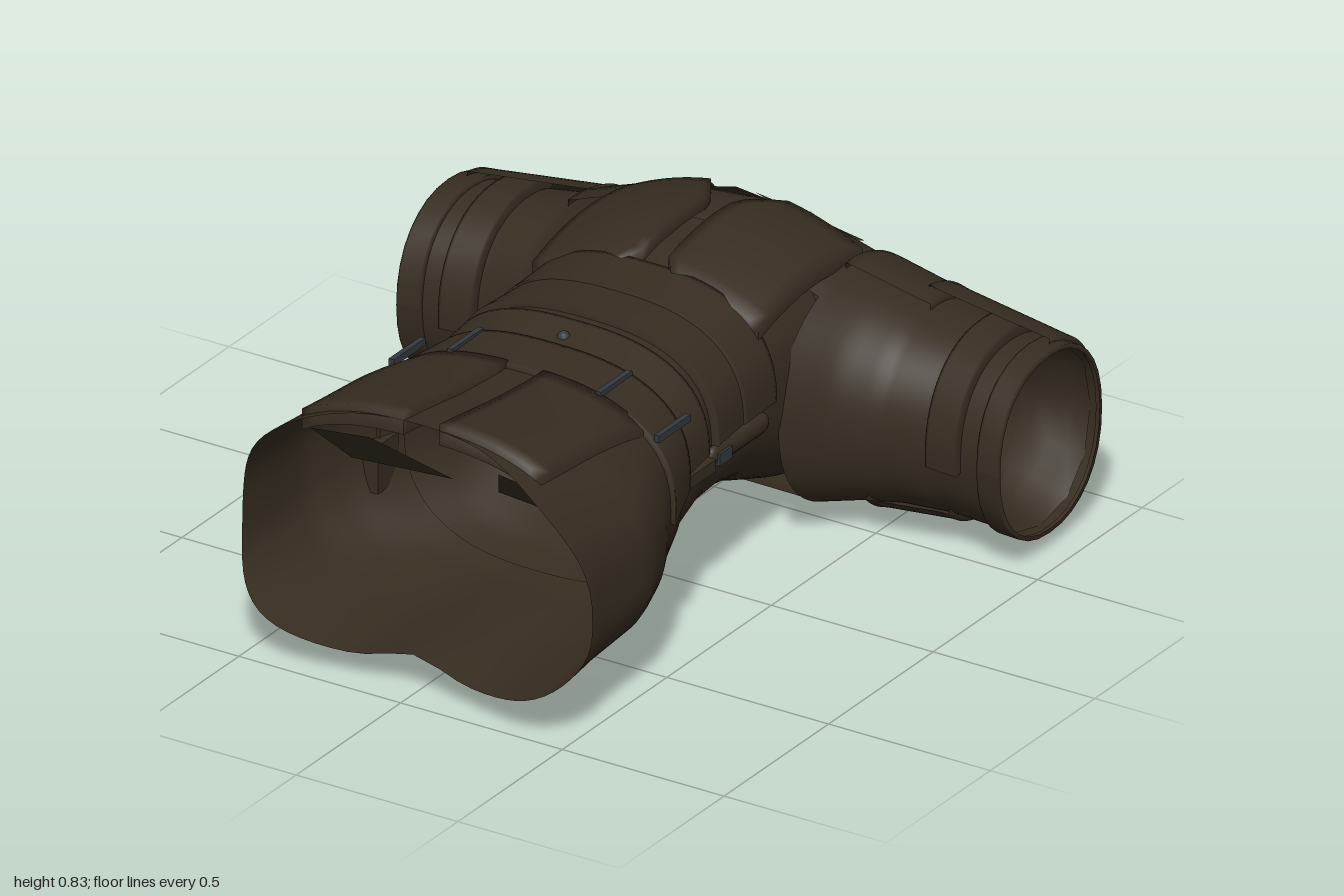
import * as THREE from 'three';

const leather = new THREE.MeshStandardMaterial({ color: 0x372d21, side: THREE.DoubleSide });
leather.name = 'dark leather';
const steel = new THREE.MeshStandardMaterial({ color: 0x343940, side: THREE.DoubleSide });
steel.name = 'dull steel';

const TAU = Math.PI * 2;
const N = 2.6;
const pow = (c, n) => Math.sign(c) * Math.pow(Math.abs(c), 2 / n);

// Row of a station table at t, blended between neighbours
function station(table, t) {
  let i = 0;
  while (i < table.length - 2 && t > table[i + 1][0]) i++;
  const a = table[i], b = table[i + 1];
  const k = THREE.MathUtils.clamp((t - a[0]) / (b[0] - a[0]), 0, 1);
  return a.map((v, j) => v + (b[j] - v) * k);
}

// Grid surface from f(u, v); faces whose centre satisfies skip are left open
function loft(f, nu, nv, closed = false, skip = null) {
  const pts = [], idx = [], cols = closed ? nv : nv + 1;
  for (let i = 0; i <= nu; i++)
    for (let j = 0; j < cols; j++) pts.push(new THREE.Vector3(...f(i / nu, j / nv)));
  for (let i = 0; i < nu; i++)
    for (let j = 0; j < nv; j++) {
      const k = (j + 1) % cols;
      const a = i * cols + j, b = i * cols + k, c = a + cols, d = b + cols;
      const mid = pts[a].clone().add(pts[d]).multiplyScalar(0.5);
      if (skip && skip(mid)) continue;
      idx.push(a, b, c, b, d, c);
    }
  const g = new THREE.BufferGeometry().setFromPoints(pts);
  g.setIndex(idx);
  g.computeVertexNormals();
  return g;
}

// Trunk stations: z, half width, back y, front y, widest y
const trunk = [
  [-0.46, 0.38, 0.07, 0.79, 0.45], [-0.3, 0.37, 0.13, 0.78, 0.46], [-0.18, 0.365, 0.18, 0.75, 0.47],
  [-0.05, 0.365, 0.205, 0.735, 0.47], [0.08, 0.365, 0.19, 0.73, 0.47], [0.25, 0.385, 0.12, 0.705, 0.45],
  [0.4, 0.44, 0.095, 0.7, 0.42], [0.5, 0.49, 0.09, 0.705, 0.4], [0.62, 0.53, 0.085, 0.715, 0.38],
  [0.8, 0.53, 0.08, 0.74, 0.35], [0.93, 0.54, 0.075, 0.755, 0.33],
];
function trunkPoint(z, a, off = 0) {
  const [, w, yb, yt, ym] = station(trunk, z);
  const s = pow(Math.sin(a), N);
  return [(w + off) * pow(Math.cos(a), N), ym + s * (s > 0 ? yt - ym + off : ym - yb + off), z];
}
function trunkTop(x, z) {
  const [, w, , yt, ym] = station(trunk, z);
  return ym + (yt - ym) * Math.pow(Math.max(0, 1 - Math.pow(Math.abs(x / w), N)), 1 / N);
}

// Yoke stations: |x|, rear z, front z, back y, front y, roundness of the upper rear
const yoke = [
  [0, -0.95, -0.25, 0.05, 0.79, 1.6], [0.2, -0.95, -0.25, 0.05, 0.77, 1.6], [0.36, -0.96, -0.25, 0.05, 0.7, 1.75],
  [0.45, -0.97, -0.35, 0.05, 0.645, 1.9], [0.55, -0.965, -0.42, 0.05, 0.595, 2.1],
  [0.7, -0.94, -0.45, 0.055, 0.57, 2.2], [0.92, -0.905, -0.43, 0.06, 0.56, 2.2],
];
function yokePoint(x, a, off = 0) {
  const [, z0, z1, yb, yt, nr] = station(yoke, Math.abs(x));
  const c = Math.cos(a), s = Math.sin(a), n = c < 0 && s > 0 ? nr : 2.2;
  return [x, (yb + yt) / 2 + ((yt - yb) / 2 + off) * pow(s, n),
    (z0 + z1) / 2 + ((z1 - z0) / 2 + off) * pow(c, n)];
}

// Raised band profile: off the surface, up, across and back down
const lip = [[0, 0], [0, 1], [0.08, 1], [0.92, 1], [1, 1], [1, 0]];
const lipAt = (u) => lip[Math.round(u * (lip.length - 1))];

// Strap wrapped around the trunk between two angles
const trunkBand = (z0, z1, a0, a1, o0, o1) => loft((u, v) => {
  const [t, h] = lipAt(u);
  return trunkPoint(z0 + (z1 - z0) * t, a0 + (a1 - a0) * v, h * (o0 + (o1 - o0) * t));
}, 5, 48);
// Strap or plate wrapped around a sleeve
const sleeveBand = (s, x0, x1, a0, a1, off) => loft((u, v) => {
  const [t, h] = lipAt(u);
  return yokePoint(s * (x0 + (x1 - x0) * t), a0 + (a1 - a0) * v, h * off);
}, 5, 32);

// Raised panel following a height rule, with turned-down rim
function panel(xIn, xOut, z0, z1, height, thick) {
  const n = 12;
  return loft((u, v) => {
    const rim = u === 0 || u === 1 || v === 0 || v === 1;
    const p = THREE.MathUtils.clamp((u * n - 1) / (n - 2), 0, 1);
    const q = THREE.MathUtils.clamp((v * n - 1) / (n - 2), 0, 1);
    const xi = xIn(q), x = xi + (xOut - xi) * p, z = z0 + (z1 - z0) * q;
    return [x, height(x, z) + (rim ? -0.03 : thick), z];
  }, n, n);
}

// Flat scrap of cloth from three or four corners
const scrap = (a, b, c, d = c) => loft((u, v) => (u ? (v ? c : b) : (v ? d : a)), 1, 1);

export function createModel() {
  const root = new THREE.Group();
  const add = (name, geo, mat = leather) => {
    const m = new THREE.Mesh(geo, mat);
    m.name = name;
    root.add(m);
    return m;
  };

  // Waist shell with a narrow slit at each side
  add('waistShell', loft((u, v) => trunkPoint(-0.46 + 0.8 * u, v * TAU), 32, 64, true,
    (p) => Math.abs(p.x) > 0.3 && p.z > -0.14 && p.z < 0.1 && p.y > 0.45 && p.y < 0.53));

  // Skirt with uneven hem, longest at the back corners and creased at the back centre
  add('skirt', loft((u, v) => {
    const a = v * TAU, p = trunkPoint(0.27 + 0.65 * u, a, 0.01);
    p[2] += u * u * (0.033 - 0.02 * Math.sin(a) - 0.033 * Math.cos(4 * a) + 0.012 * Math.cos(a));
    if (Math.sin(a) < 0) p[1] += 0.05 * u * Math.exp(-((p[0] / 0.12) ** 2));
    return p;
  }, 20, 72, true));

  // Yoke and sleeves in one tube, open at the waist, hollowed below a V-shaped neck opening
  add('yokeAndSleeves', loft((u, v) => {
    const p = yokePoint(-0.92 + 1.84 * u, v * TAU);
    if (p[2] < -0.65) p[2] += 0.11 * Math.exp(-((p[0] / 0.15) ** 2) - ((p[1] - 0.4) / 0.15) ** 2);
    return p;
  }, 92, 72, true,
    (p) => (Math.abs(p.x) < 0.37 && p.z > -0.43) ||
      (Math.abs(p.x) < 0.2 && p.z < -0.72 && p.y < 0.68 && p.y > 0.47 + 0.6 * Math.abs(p.x))));

  // Overlapping waist wraps and belt
  const wraps = [[-0.19, -0.03, 0.03, 0.035], [-0.04, 0.11, 0.03, 0.04], [0.09, 0.2, 0.015, 0.03], [0.15, 0.27, 0.035, 0.025]];
  wraps.forEach(([z0, z1, o0, o1], i) =>
    add('waistWrap' + (i + 1), trunkBand(z0, z1, 0.02, Math.PI - 0.02, o0, o1)));
  add('belt', trunkBand(0.26, 0.41, -0.03, Math.PI + 0.03, 0.03, 0.025));

  for (const s of [-1, 1]) {
    const side = s > 0 ? 'left' : 'right';

    // Chest plates with cut inner corners
    add(side + 'ChestPlate', panel(
      (q) => s * (0.04 + 0.08 * Math.max(0, 1 - q / 0.25) + 0.04 * Math.max(0, (q - 0.9) / 0.1)),
      s * 0.35, -0.67, -0.17, (x, z) => 0.82 - 0.65 * (z + 0.45) ** 2 - 0.7 * x * x, 0.012));

    // Front skirt panels and the lining that sags beneath them
    add(side + 'SkirtPanel', panel(() => s * 0.055, s * 0.37, 0.4, 0.9, trunkTop, 0.03));
    add(side + 'SaggingLining', scrap([s * 0.2, 0.65, 0.84], [s * 0.37, 0.64, 0.86],
      [s * 0.37, 0.47, 0.66], [s * 0.07, 0.48, 0.64]));

    // Layered shoulder plates, sleeve wraps, cuff and sleeve lining
    add(side + 'ShoulderPlate', sleeveBand(s, 0.52, 0.9, 1.7, 3.9, 0.025));
    add(side + 'InnerShoulderPlate', sleeveBand(s, 0.36, 0.56, 1.5, 3.4, 0.018));
    add(side + 'SleeveWrap', sleeveBand(s, 0.7, 0.8, -0.1, 2, 0.025));
    add(side + 'LowerSleevePlate', sleeveBand(s, 0.5, 0.72, 3.9, 5.5, 0.015));
    add(side + 'Cuff', sleeveBand(s, 0.86, 0.93, 0, TAU, 0.012));
    add(side + 'SleeveLining', loft((u, v) =>
      yokePoint(s * (0.9 - 0.3 * u), v * TAU, -0.06 * Math.min(1, u * 2)), 6, 12, true));

    // Ragged collar flaps beside the neck opening
    add(side + 'CollarFlap', scrap([s * 0.15, 0.75, -0.72], [s * 0.33, 0.71, -0.68],
      [s * 0.26, 0.46, -0.97], [s * 0.16, 0.52, -0.94]));
    add(side + 'CollarTab', scrap([s * 0.03, 0.8, -0.65], [s * 0.29, 0.745, -0.62],
      [s * 0.26, 0.65, -0.82], [s * 0.02, 0.7, -0.8]));

    // Loose scrap inside the armhole
    add(side + 'TornScrap', scrap([s * 0.36, 0.31, -0.78], [s * 0.38, 0.18, -0.5], [s * 0.37, 0.34, -0.53]));

    // Steel keepers on the belt
    for (const x of [0.23, 0.41]) {
      const k = add(side + 'BeltKeeper', new THREE.BoxGeometry(0.016, 0.02, 0.15), steel);
      k.position.set(s * x, x < 0.3 ? trunkTop(x, 0.33) + 0.03 : 0.63, 0.335);
    }
    // Side pad with a small steel buckle, and the strap behind it
    const pad = add(side + 'SidePad', new THREE.CapsuleGeometry(0.03, 0.22, 4, 10));
    pad.rotation.x = Math.PI / 2;
    pad.scale.x = 0.6;
    pad.position.set(s * 0.37, 0.43, -0.04);
    const buckle = add(side + 'SideBuckle', new THREE.BoxGeometry(0.02, 0.035, 0.06), steel);
    buckle.position.set(s * 0.383, 0.425, 0.05);
    const strap = add(side + 'SideStrap', new THREE.BoxGeometry(0.03, 0.035, 0.14));
    strap.position.set(s * 0.385, 0.425, 0.18);
  }

  // Small steel rivet at the centre of the wraps
  const rivet = add('wrapRivet', new THREE.SphereGeometry(0.018, 12, 8), steel);
  rivet.position.set(0, 0.735, 0.22);

  // Pouch hanging behind the right hip
  const pouch = add('hipPouch', new THREE.BoxGeometry(0.13, 0.07, 0.24));
  pouch.position.set(-0.32, 0.06, 0.48);
  pouch.rotation.z = -0.45;
  const clasp = add('hipClasp', new THREE.BoxGeometry(0.06, 0.14, 0.1));
  clasp.position.set(-0.455, 0.33, 0.4);

  return root;
}
